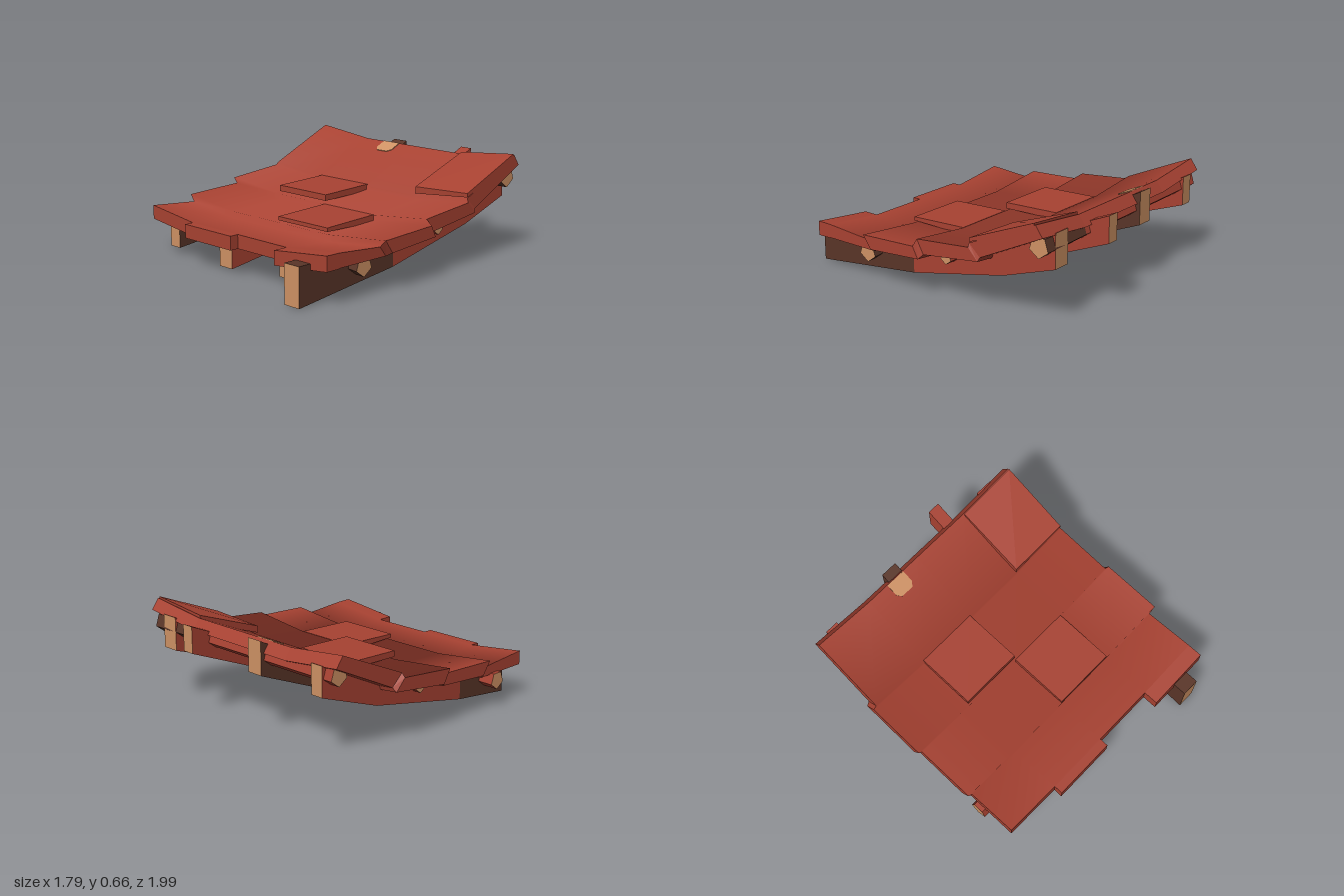
import * as THREE from 'three';

const mat = (name, color) => {
  const m = new THREE.MeshStandardMaterial({ color });
  m.name = name;
  return m;
};

// Flat-faced surface through rows of points; front side is (along row) x (across rows)
function surface(rows, normals) {
  const pos = [], nor = [];
  for (let i = 0; i < rows.length - 1; i++) {
    for (let j = 0; j < rows[0].length - 1; j++) {
      const quad = [[i, j], [i, j + 1], [i + 1, j + 1], [i, j], [i + 1, j + 1], [i + 1, j]];
      for (const [r, c] of quad) {
        pos.push(...rows[r][c]);
        if (normals) nor.push(...normals[r][c]);
      }
    }
  }
  const g = new THREE.BufferGeometry();
  g.setAttribute('position', new THREE.Float32BufferAttribute(pos, 3));
  if (normals) g.setAttribute('normal', new THREE.Float32BufferAttribute(nor, 3));
  else g.computeVertexNormals();
  return g;
}

// Flat polygon closing the end of a loft
function cap(ring, reverse) {
  const pos = [];
  for (let i = 1; i < ring.length - 1; i++) {
    const tri = [ring[0], ring[i], ring[i + 1]];
    if (reverse) tri.reverse();
    tri.forEach((p) => pos.push(...p));
  }
  const g = new THREE.BufferGeometry();
  g.setAttribute('position', new THREE.Float32BufferAttribute(pos, 3));
  g.computeVertexNormals();
  return g;
}

// Closed loft: one material per span, one for both ends
function loft(name, rings, sideMats, endMat) {
  const group = new THREE.Group();
  group.name = name;
  const add = (part, geo, m) => {
    const mesh = new THREE.Mesh(geo, m);
    mesh.name = part;
    group.add(mesh);
  };
  const closed = rings.map((r) => [...r, r[0]]);
  for (let i = 0; i < rings.length - 1; i++) {
    add(name + 'Side', surface([closed[i], closed[i + 1]]), sideMats[i] || sideMats[0]);
  }
  add(name + 'FrontEnd', cap(rings[0], true), endMat);
  add(name + 'BackEnd', cap(rings[rings.length - 1], false), endMat);
  return group;
}

// Four-cornered section at depth z, with separate heights on each side
const section = (z, x0, x1, top0, top1, bot0, bot1) =>
  [[x0, top0, z], [x1, top1, z], [x1, bot1, z], [x0, bot0, z]];

export function createModel() {
  const red = mat('terracotta', 0xa84232);
  const brown = mat('darkWood', 0x5a3528);
  const tan = mat('cutWood', 0xcf9264);
  const model = new THREE.Group();
  model.name = 'roofSection';

  // Stepped roof sheet: [z, y] along the middle, sides bent upwards
  const top = [[0.8, 0.27], [0.46, 0.24], [0.46, 0.285], [0.05, 0.3],
    [0.05, 0.335], [-0.35, 0.37], [-0.35, 0.395], [-0.83, 0.605]];
  const bottom = [[0.8, 0.18], [0.41, 0.175], [0.4, 0.2], [0.01, 0.225],
    [0, 0.245], [-0.42, 0.295], [-0.43, 0.32], [-0.88, 0.535]];
  const edges = [[-0.84, 0.85], [-0.87, 0.895], [-0.895, 0.855], [-0.87, 0.845]];
  const row = ([z, y], i) => {
    const [l, r] = edges[i >> 1];
    return [[l, y + 0.048, z], [-0.44, y, z], [-0.01, y, z], [0.42, y, z], [r, y + 0.048, z]];
  };
  const topRows = top.map(row);
  const bottomRows = bottom.map(row);

  // Softened normals blend each course with its step
  const segNormal = (i) => {
    const dz = top[i + 1][0] - top[i][0], dy = top[i + 1][1] - top[i][1];
    return new THREE.Vector3(0, -dz, dy).normalize();
  };
  const normals = top.map((p, i) => {
    const course = segNormal(i - (i % 2));
    const n = course.clone();
    if (i > 0 && i < top.length - 1) n.add(segNormal(i % 2 ? i : i - 1)).normalize();
    return [0, 1, 2, 3, 4].map((c) => {
      const edge = c === 0 || c === 4;
      const v = (edge && (i >> 1) === 1 ? course : n).clone();
      if (edge) v.x = c === 0 ? 0.1 : -0.1;
      return v.normalize().toArray();
    });
  });
  const column = (rows, c) => rows.map((r) => r[c]);
  const sheetParts = {
    roofTop: surface(topRows, normals),
    roofUnderside: surface([...bottomRows].reverse()),
    roofFrontEdge: surface([bottomRows[0], topRows[0]]),
    roofBackEdge: surface([topRows[7], bottomRows[7]]),
    roofLeftEdge: surface([column(bottomRows, 4), column(topRows, 4)]),
    roofRightEdge: surface([column(topRows, 0), column(bottomRows, 0)]),
  };
  for (const [name, geo] of Object.entries(sheetParts)) {
    const mesh = new THREE.Mesh(geo, red);
    mesh.name = name;
    model.add(mesh);
  }

  // Overhanging front tabs and raised tiles
  const slab = (name, a, b) => model.add(loft(name, [section(...a), section(...b)], [red], red));
  slab('middleTab', [0.86, -0.44, -0.01, 0.27, 0.27, 0.18, 0.18],
    [0.8, -0.44, -0.01, 0.27, 0.27, 0.18, 0.18]);
  slab('cornerTab', [0.9, 0.42, 0.85, 0.272, 0.32, 0.18, 0.225],
    [0.8, 0.42, 0.85, 0.27, 0.318, 0.18, 0.225]);
  slab('lowerTile', [0.46, -0.01, 0.42, 0.325, 0.325, 0.3, 0.3],
    [0.05, -0.01, 0.42, 0.337, 0.337, 0.29, 0.29]);
  slab('upperTile', [0.04, -0.44, -0.01, 0.395, 0.395, 0.355, 0.355],
    [-0.36, -0.44, -0.01, 0.405, 0.405, 0.36, 0.36]);
  slab('cornerTile', [-0.35, 0.42, 0.845, 0.455, 0.475, 0.41, 0.45],
    [-0.82, 0.42, 0.845, 0.62, 0.662, 0.57, 0.61]);

  // Bent rafters: x, width, [z, bottom, top] stations, span colours
  const rafters = [
    [-0.72, 0.09, [[0.72, 0.045, 0.21], [0.3, 0.09, 0.24], [-0.45, 0.235, 0.4], [-0.89, 0.39, 0.58]],
      [brown, red, red]],
    [-0.195, 0.115, [[0.74, 0.012, 0.19], [0.2, 0.09, 0.25], [-0.5, 0.24, 0.41], [-0.9, 0.4, 0.615]],
      [red, red, brown]],
    [0.315, 0.085, [[0.72, 0.045, 0.19], [0.25, 0.085, 0.24], [-0.5, 0.24, 0.4], [-1, 0.44, 0.613]],
      [brown, red, red]],
    [0.66, 0.12, [[0.99, 0.003, 0.25], [0.2, 0.09, 0.25], [-0.5, 0.235, 0.42], [-0.88, 0.36, 0.58]],
      [brown, red, red]],
  ];
  for (const [x, w, stations, mats] of rafters) {
    const rings = stations.map(([z, b, t]) => section(z, x - w / 2, x + w / 2, t, t, b, b));
    model.add(loft('rafter', rings, mats, tan));
  }

  // Five-sided cross logs: [x, y, z, radius] stations
  const logRing = ([x, y, z, r]) => Array.from({ length: 5 }, (_, i) => {
    const t = Math.PI / 5 + (i * Math.PI * 2) / 5;
    return [x, y + r * Math.cos(t), z + r * Math.sin(t)];
  });
  const logs = [
    [[[-0.87, 0.185, 0.54, 0.06], [0.42, 0.19, 0.53, 0.05], [0.79, 0.175, 0.53, 0.068]], [red, brown]],
    [[[-0.82, 0.29, -0.13, 0.04], [0, 0.275, -0.13, 0.035], [0.8, 0.285, -0.13, 0.042]], [red, red]],
    [[[-0.83, 0.52, -0.82, 0.065], [0.4, 0.5, -0.82, 0.055], [0.8, 0.505, -0.82, 0.07]], [red, brown]],
  ];
  for (const [stations, mats] of logs) {
    model.add(loft('crossLog', stations.map(logRing), mats, tan));
  }

  // Exposed cut wood at the upper edge
  const plug = new THREE.Shape([[-0.07, 0], [-0.07, -0.085], [-0.045, -0.115], [0.045, -0.115],
    [0.07, -0.085], [0.07, 0]].map(([x, y]) => new THREE.Vector2(x, y)));
  const plate = new THREE.Mesh(new THREE.ExtrudeGeometry(plug, { depth: 0.006, bevelEnabled: false }), tan);
  plate.name = 'cutWoodPlate';
  plate.position.set(-0.21, 0.603, -0.828);
  plate.rotation.x = -1.158;
  model.add(plate);

  return model;
}
